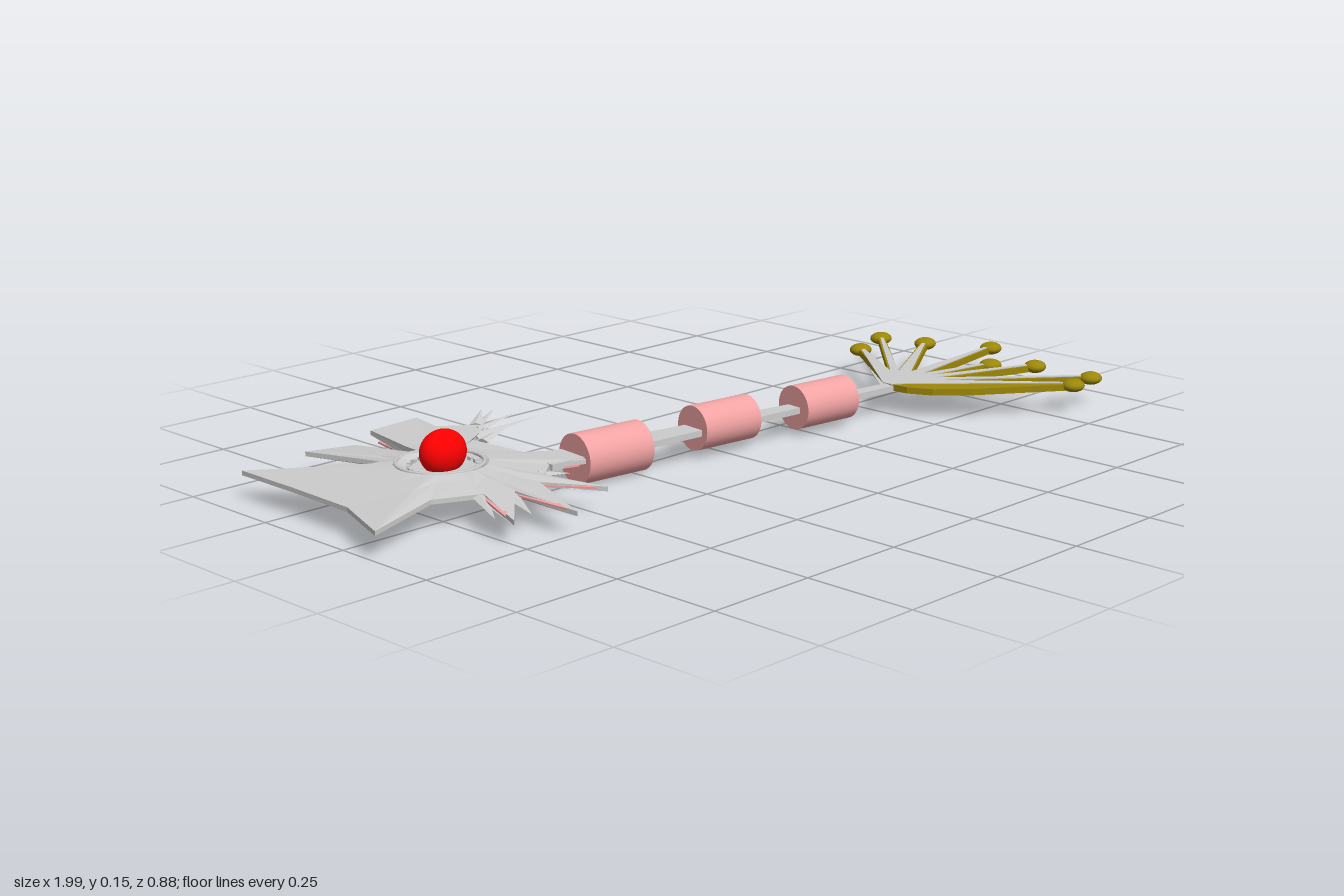
import * as THREE from 'three';

const GREY = 0xcccccc, PINK = 0xf2a3a3, GOLD = 0x9c870a, RED = 0xff0000;
const mat = (color, flat = false) =>
  new THREE.MeshStandardMaterial({ color, flatShading: flat, side: THREE.DoubleSide });

function add(group, name, geometry, color, flat) {
  const mesh = new THREE.Mesh(geometry, mat(color, flat));
  mesh.name = name;
  group.add(mesh);
  return mesh;
}

// Flat slab from an outline of [x, z] points between two heights
function plate(points, y0, y1) {
  const shape = new THREE.Shape(points.map(([x, z]) => new THREE.Vector2(x, -z)));
  return new THREE.ExtrudeGeometry(shape, { depth: y1 - y0, bevelEnabled: false })
    .rotateX(-Math.PI / 2).translate(0, y0, 0);
}

// Thin flattened spike from a to b
function spike(a, b, width) {
  const from = new THREE.Vector3(...a), to = new THREE.Vector3(...b);
  const dir = to.clone().sub(from), len = dir.length();
  const side = new THREE.Vector3(0, 1, 0).cross(dir).normalize();
  const up = dir.clone().normalize().cross(side);
  const m = new THREE.Matrix4().makeBasis(side, dir.normalize(), up);
  return new THREE.ConeGeometry(width, len, 4).scale(1, 1, 0.35)
    .translate(0, len / 2, 0).applyMatrix4(m).translate(...a);
}

// Cell body outline: x, z and height of each corner, clockwise from above
const CENTER = [-0.65, -0.115];
const BODY = [
  [-0.935, -0.415, 0.06], [-0.81, -0.245, 0.065], [-0.71, -0.25, 0.066],
  [-0.76, -0.435, 0.06], [-0.655, -0.4, 0.06], [-0.625, -0.27, 0.066],
  [-0.605, -0.41, 0.08], [-0.47, -0.42, 0.08], [-0.49, -0.33, 0.082],
  [-0.41, -0.25, 0.085], [-0.49, -0.21, 0.075], [-0.46, -0.08, 0.068],
  [-0.4, -0.05, 0.065], [-0.4, 0.045, 0.065], [-0.48, 0.02, 0.065],
  [-0.53, 0.06, 0.063], [-0.485, 0.2, 0.057], [-0.57, 0.09, 0.062],
  [-0.63, 0.265, 0.052], [-0.645, 0.1, 0.062], [-0.755, 0.22, 0.052],
  [-0.7, 0.07, 0.062], [-0.8, 0.025, 0.062], [-0.995, 0.095, 0.059],
  [-0.94, -0.06, 0.06], [-0.935, -0.25, 0.06],
];

// Body skin: loops blended from a crater ring around the nucleus to the outline
function bodyGeometry() {
  const [cx, cz] = CENTER, n = BODY.length, pos = [], idx = [];
  // [radius of ring, blend to outline, height at ring, edge offset]
  const loops = [
    [0, 0, 0.072, 0], [0.075, 0, 0.074, 0], [0.095, 0, 0.086, 0], [0.1, 0.25, 0.082, 0.006],
    [0.1, 1, 0.07, 0.005], [0.1, 1, 0.055, -0.005], [0.1, 0.3, 0.055, -0.005], [0, 0, 0.054, 0],
  ];
  for (const [r, t, h, off] of loops) {
    for (const [x, z, y] of BODY) {
      const a = Math.atan2(z - cz, x - cx);
      pos.push(
        THREE.MathUtils.lerp(cx + r * Math.cos(a), x, t),
        THREE.MathUtils.lerp(h, y + off, t),
        THREE.MathUtils.lerp(cz + r * Math.sin(a), z, t));
    }
  }
  for (let k = 0; k < loops.length - 1; k++) {
    for (let i = 0; i < n; i++) {
      const j = (i + 1) % n, a = k * n + i, b = k * n + j;
      idx.push(a, b, b + n, a, b + n, a + n);
    }
  }
  for (let i = 0; i < idx.length; i += 3) [idx[i + 1], idx[i + 2]] = [idx[i + 2], idx[i + 1]];
  const g = new THREE.BufferGeometry();
  g.setAttribute('position', new THREE.Float32BufferAttribute(pos, 3));
  g.setIndex(idx);
  g.computeVertexNormals();
  return g;
}

// Ends of the terminal branches, in order around the hub
const TIPS = [
  [0.73, -0.168], [0.858, -0.21], [0.89, -0.094], [0.965, 0.053],
  [0.826, 0.158], [0.89, 0.243], [0.89, 0.404], [0.805, 0.415],
];

// Fan outline with a notch between each pair of branches
function fanOutline(back, hub, notch, half, reach) {
  const pts = [...back];
  TIPS.forEach(([x, z], i) => {
    const dx = x - hub[0], dz = z - hub[1], len = Math.hypot(dx, dz);
    const ex = hub[0] + dx * reach, ez = hub[1] + dz * reach;
    const nx = -dz / len * half, nz = dx / len * half;
    pts.push([ex - nx, ez - nz], [ex + nx, ez + nz]);
    if (i < TIPS.length - 1) {
      const a = (Math.atan2(dz, dx) + Math.atan2(TIPS[i + 1][1] - hub[1], TIPS[i + 1][0] - hub[0])) / 2;
      pts.push([hub[0] + notch * Math.cos(a), hub[1] + notch * Math.sin(a)]);
    }
  });
  return pts;
}

export function createModel() {
  const model = new THREE.Group();

  // Cell body with a pink layer peeping out at its edges
  const soma = new THREE.Group();
  soma.name = 'cellBody';
  model.add(soma);
  add(soma, 'bodySkin', bodyGeometry(), GREY, true);
  const inner = BODY.map(([x, z]) => {
    const dx = (x - CENTER[0]) * 0.95, dz = (z - CENTER[1]) * 0.95, c = Math.cos(0.03), s = Math.sin(0.03);
    return [CENTER[0] + dx * c - dz * s, CENTER[1] + dx * s + dz * c];
  });
  add(soma, 'pinkLayer', plate(inner, 0.058, 0.062), PINK, true);

  // Nucleus in its crater, with a ring of small studs
  add(soma, 'nucleus', new THREE.SphereGeometry(1, 32, 20)
    .scale(0.054, 0.048, 0.041).translate(-0.65, 0.106, -0.115), RED);
  add(soma, 'craterRim', new THREE.TorusGeometry(0.092, 0.004, 6, 32)
    .rotateX(Math.PI / 2).translate(-0.655, 0.085, -0.12), GREY);
  for (let i = 0; i < 20; i++) {
    const a = i / 20 * Math.PI * 2;
    add(soma, 'rimStud', new THREE.BoxGeometry(0.008, 0.008, 0.012).rotateY(-a)
      .translate(-0.65 + 0.072 * Math.cos(a), 0.077, -0.115 + 0.072 * Math.sin(a)), GREY, true);
  }

  // Fine dendrites
  const dendrites = [
    [[-0.48, 0.08, -0.24], [-0.295, 0.08, -0.365], 0.018],
    [[-0.42, 0.085, -0.28], [-0.36, 0.1, -0.33], 0.015],
    [[-0.47, 0.08, -0.23], [-0.3, 0.1, -0.2], 0.02],
    [[-0.44, 0.085, -0.25], [-0.33, 0.1, -0.255], 0.016],
    [[-0.47, 0.075, -0.2], [-0.38, 0.09, -0.215], 0.016],
    [[-0.53, 0.065, 0.04], [-0.455, 0.055, 0.06], 0.02],
    [[-0.56, 0.063, 0.07], [-0.52, 0.055, 0.17], 0.02],
    [[-0.65, 0.063, 0.08], [-0.69, 0.05, 0.2], 0.02],
    [[-0.7, 0.063, 0.05], [-0.76, 0.05, 0.17], 0.018],
  ];
  for (const [a, b, w] of dendrites) add(soma, 'dendrite', spike(a, b, w), GREY, true);

  // Tapering axon
  add(model, 'axon', plate([
    [-0.48, -0.06], [-0.39, -0.045], [-0.22, -0.015], [0.2, 0.055], [0.54, 0.095],
    [0.54, 0.125], [0.2, 0.095], [-0.22, 0.055], [-0.42, 0.035], [-0.48, 0.03],
  ], 0.058, 0.072), GREY, true);

  // Sheath segments: x, y, z, radius, length
  for (const [x, y, z, r, len] of [
    [-0.308, 0.06, 0.012, 0.055, 0.17], [0.003, 0.07, 0.045, 0.05, 0.155], [0.289, 0.068, 0.083, 0.05, 0.155],
  ]) {
    const sheath = add(model, 'sheath', new THREE.CylinderGeometry(r, r, len, 40).rotateZ(Math.PI / 2), PINK);
    sheath.position.set(x, y, z);
    sheath.rotation.y = -0.11;
  }

  // Branching terminal: golden fan with grey faces above and below
  const terminal = new THREE.Group();
  terminal.name = 'terminal';
  model.add(terminal);
  const back = [[0.6, 0.28], [0.535, 0.215], [0.508, 0.16], [0.505, 0.11]];
  add(terminal, 'branches', plate(fanOutline(back, [0.53, 0.11], 0.11, 0.008, 1), 0.06, 0.075), GOLD, true);
  const inset = [[0.59, 0.2], [0.53, 0.14], [0.5, 0.12], [0.5, 0.095]];
  const face = fanOutline(inset, [0.54, 0.105], 0.09, 0.004, 0.95);
  add(terminal, 'upperFace', plate(face, 0.075, 0.077), GREY, true);
  add(terminal, 'lowerFace', plate(face, 0.058, 0.06), GREY, true);
  for (const [x, z] of TIPS) {
    add(terminal, 'bulb', new THREE.SphereGeometry(1, 20, 14)
      .scale(0.028, 0.015, 0.026).translate(x, 0.07, z), GOLD);
  }
  return model;
}
